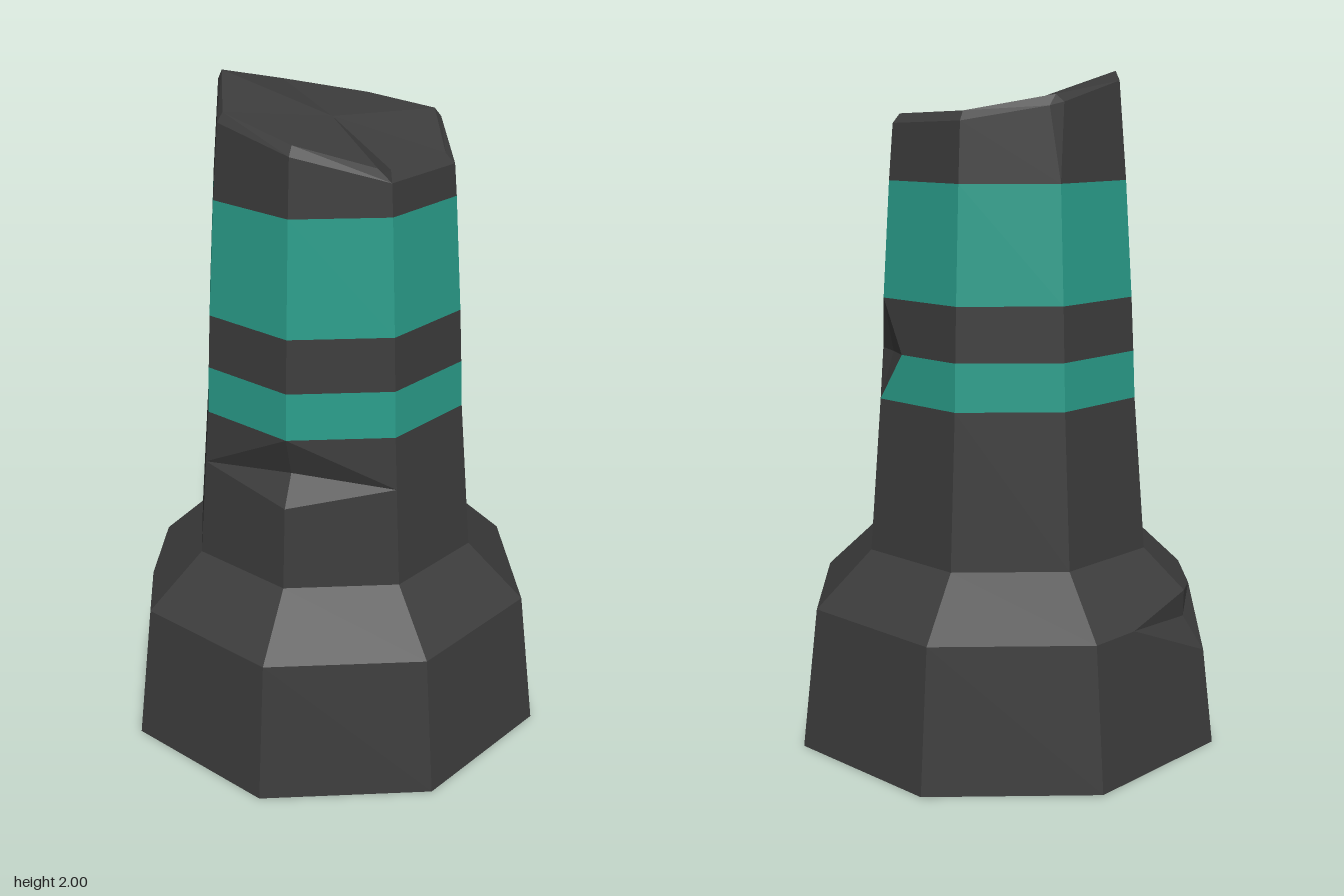
import * as THREE from 'three';

// Octagonal outline as [height, corner radius]
const PROFILE = [[0, 0.67], [0.425, 0.62], [0.59, 0.445], [1.05, 0.408], [1.19, 0.402], [1.35, 0.394], [1.69, 0.372], [2, 0.346]];
// Height of the broken top at each corner, starting at +x and turning towards +z
const TOP = [1.81, 1.81, 1.885, 1.935, 2.0, 1.935, 1.89, 1.88];

function radiusAt(y) {
  let i = 0;
  while (i < PROFILE.length - 2 && y > PROFILE[i + 1][0]) i++;
  const [y0, r0] = PROFILE[i], [y1, r1] = PROFILE[i + 1];
  return r0 + (r1 - r0) * (y - y0) / (y1 - y0);
}

// Point at corner k, height y; the radius follows the profile unless given
function corner(k, y, r = radiusAt(y)) {
  const a = k * Math.PI / 4;
  return new THREE.Vector3(Math.cos(a) * r, y, Math.sin(a) * r);
}

// Collects flat convex polygons, turning each to face outwards
function faceSet() {
  const positions = [];
  const add = (...pts) => {
    for (let i = 1; i < pts.length - 1; i++) {
      const [a, b, c] = [pts[0], pts[i], pts[i + 1]];
      const mid = a.clone().add(b).add(c).divideScalar(3);
      const out = mid.clone().sub(new THREE.Vector3(0, THREE.MathUtils.clamp(mid.y, 0.3, 1.6), 0));
      const normal = b.clone().sub(a).cross(c.clone().sub(a));
      const tri = normal.dot(out) < 0 ? [a, c, b] : [a, b, c];
      tri.forEach((p) => positions.push(p.x, p.y, p.z));
    }
  };
  return { positions, add };
}

export function createModel() {
  const group = new THREE.Group();
  const stone = new THREE.MeshStandardMaterial({ color: 0x3c3c3c, flatShading: true });
  const teal = new THREE.MeshStandardMaterial({ color: 0x2a9d8a, flatShading: true });
  const parts = {};
  const part = (name, material) => (parts[name] = { material, ...faceSet() }).add;

  const base = part('base', stone);
  const shoulder = part('shoulder', stone);
  const shaft = part('shaft', stone);
  const lowerBand = part('lowerBand', teal);
  const middle = part('middleShaft', stone);
  const upperBand = part('upperBand', teal);
  const chips = part('chips', stone);
  const crown = part('crown', stone);
  const layers = [base, shoulder, shaft, lowerBand, middle, upperBand];

  // Plain sides, leaving out the faces next to a chipped corner
  const chipped = [[4], [4], [2], [7], [7], []];
  layers.forEach((add, j) => {
    const y0 = PROFILE[j][0], y1 = PROFILE[j + 1][0];
    for (let k = 0; k < 8; k++) {
      const n = (k + 1) % 8;
      if (chipped[j].includes(k) || chipped[j].includes(n)) continue;
      add(corner(k, y0), corner(n, y0), corner(n, y1), corner(k, y1));
    }
  });
  base(...TOP.map((_, k) => corner(k, 0)));

  // Two hollow facets on one side of a chip
  const hollow = (low, deep, high, side) => {
    chips(low, deep, side);
    chips(deep, high, side);
  };

  for (const s of [-1, 1]) {
    // Chip on the edge of the base, at the -x corner
    let n = 4 + s;
    let low = corner(4, 0.29), high = corner(4, 0.47);
    let side = corner(4, 0.425).lerp(corner(n, 0.425), s > 0 ? 0.65 : 0.5);
    hollow(low, corner(4, 0.39, 0.57), high, side);
    base(corner(4, 0), corner(n, 0), corner(n, 0.425), side, low);
    shoulder(side, corner(n, 0.425), corner(n, 0.59), corner(4, 0.59), high);

    // Wide gouge across the front of the shaft
    n = 2 + s;
    low = corner(2, 0.84);
    high = corner(2, 1.05);
    side = corner(n, 0.89);
    hollow(low, corner(2, 0.93, 0.367), high, side);
    shaft(corner(2, 0.59), corner(n, 0.59), side, low);
    shaft(side, corner(n, 1.05), high);
    // The face beyond the gouge keeps its plain shape

    // Diamond chip across the lower band, at the back right corner
    n = 7 + s;
    low = corner(7, 1.05);
    high = corner(7, 1.35);
    side = corner(7, 1.19).lerp(corner(n, 1.19), 0.28);
    hollow(low, corner(7, 1.19, 0.365), high, side);
    lowerBand(low, corner(n, 1.05), corner(n, 1.19), side);
    middle(side, corner(n, 1.19), corner(n, 1.35), high);
  }

  // Crown: sides rise to a slanted rim with a thin bevel
  const outer = TOP.map((y, k) => corner(k, y - 0.027));
  const inner = TOP.map((y, k) => corner(k, y, 0.336));
  const cut = (ring, k, step, t) => ring[k].clone().lerp(ring[(k + step + 8) % 8], t);
  const centre = new THREE.Vector3(0, 1.89, 0);
  for (let k = 0; k < 8; k++) {
    const n = (k + 1) % 8;
    // The back left corner is chamfered, the front right one is nicked
    const oa = k === 5 ? cut(outer, 5, 1, 0.09) : outer[k];
    const ob = n === 5 ? cut(outer, 5, -1, 0.09) : outer[n];
    const ia = k === 1 ? cut(inner, 1, 1, 0.1) : inner[k];
    const ib = n === 1 ? cut(inner, 1, -1, 0.06) : inner[n];
    crown(corner(k, 1.69), corner(n, 1.69), ob, oa);
    crown(oa, ob, ib, ia);
    crown(ia, ib, centre);
  }
  const ca = cut(outer, 5, -1, 0.09), cb = cut(outer, 5, 1, 0.09);
  crown(corner(5, 1.69), ca, cb);
  crown(ca, cb, inner[5]);
  const nick = corner(1, 1.79, 0.29);
  const na = cut(inner, 1, -1, 0.06), nb = cut(inner, 1, 1, 0.1);
  crown(outer[1], na, nick);
  crown(outer[1], nick, nb);
  crown(na, nick, centre);
  crown(nick, nb, centre);

  for (const [name, { material, positions }] of Object.entries(parts)) {
    const geometry = new THREE.BufferGeometry();
    geometry.setAttribute('position', new THREE.Float32BufferAttribute(positions, 3));
    geometry.computeVertexNormals();
    const mesh = new THREE.Mesh(geometry, material);
    mesh.name = name;
    group.add(mesh);
  }
  return group;
}
